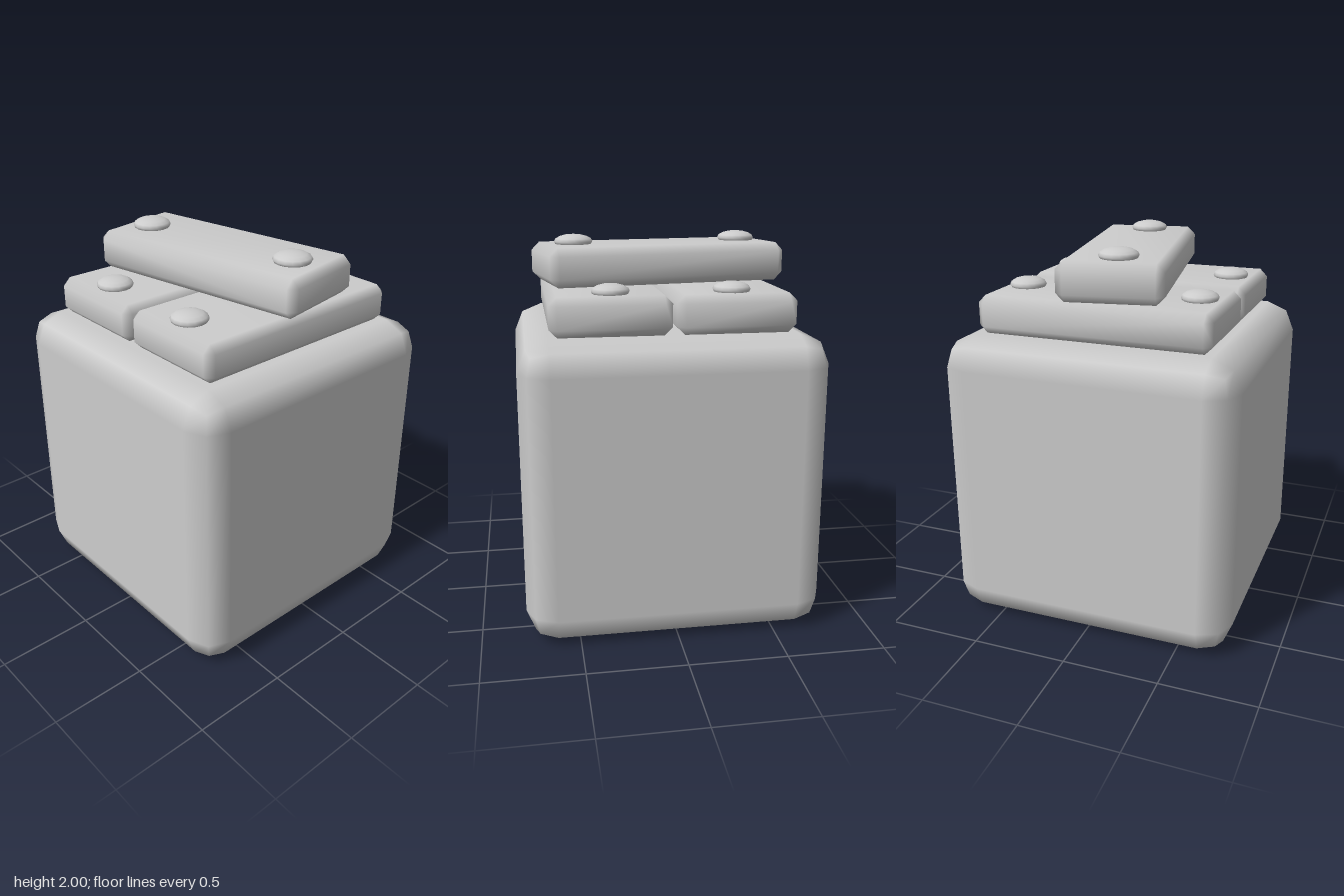
import * as THREE from 'three';
import { mergeVertices } from 'three/addons/utils/BufferGeometryUtils.js';
import { ConvexGeometry } from 'three/addons/geometries/ConvexGeometry.js';

const grey = new THREE.MeshStandardMaterial({ color: 0xcccccc });
grey.name = 'grey';

// Box whose edges are rounded in two 45 degree steps
function roundedBox(w, h, d, r) {
  const geo = new THREE.BoxGeometry(2, 2, 2, 3, 3, 3);
  const pos = geo.attributes.position;
  const half = new THREE.Vector3(w / 2 - r, h / 2 - r, d / 2 - r);
  const p = new THREE.Vector3();
  for (let i = 0; i < pos.count; i++) {
    p.fromBufferAttribute(pos, i);
    const n = new THREE.Vector3(Math.trunc(p.x * 1.01), Math.trunc(p.y * 1.01), Math.trunc(p.z * 1.01)).normalize();
    pos.setXYZ(i,
      Math.sign(p.x) * half.x + n.x * r,
      Math.sign(p.y) * half.y + n.y * r,
      Math.sign(p.z) * half.z + n.z * r);
    geo.attributes.normal.setXYZ(i, n.x, n.y, n.z);
  }
  return geo;
}

// Box with a single chamfer on every edge, shaded smooth
function chamferedBox(w, h, d, c) {
  const points = [];
  for (const x of [-w / 2, w / 2]) for (const y of [-h / 2, h / 2]) for (const z of [-d / 2, d / 2]) {
    const cx = x - Math.sign(x) * c, cy = y - Math.sign(y) * c, cz = z - Math.sign(z) * c;
    points.push(new THREE.Vector3(x, cy, cz), new THREE.Vector3(cx, y, cz), new THREE.Vector3(cx, cy, z));
  }
  const raw = new ConvexGeometry(points);
  raw.deleteAttribute('normal');
  const geo = mergeVertices(raw, 1e-4);
  geo.computeVertexNormals();
  return geo;
}

export function createModel() {
  const model = new THREE.Group();
  model.name = 'blockWithPlanks';

  function add(name, geo, x, y, z) {
    const mesh = new THREE.Mesh(geo, grey);
    mesh.name = name;
    mesh.position.set(x, y, z);
    model.add(mesh);
    return mesh;
  }

  function addRivet(x, y, z, r, h) {
    add('rivet', new THREE.SphereGeometry(r, 16, 8).scale(1, h / r, 1), x, y, z);
  }

  // Main block
  add('block', roundedBox(1.54, 1.545, 1.54, 0.155), 0, 0.7725, 0);

  // Two lower planks, each with a rivet near either end
  const plank = chamferedBox(1.22, 0.195, 0.6, 0.04);
  for (const side of [-1, 1]) {
    add(side > 0 ? 'frontPlank' : 'backPlank', plank, 0, 1.6425, side * 0.31);
    for (const end of [-1, 1]) addRivet(end * 0.465, 1.752, side * 0.302, 0.095, 0.038);
  }

  // Upper plank, laid askew across the lower ones
  const topPlank = add('topPlank', chamferedBox(0.53, 0.198, 1.27, 0.042), 0, 1.85, 0);
  topPlank.rotation.y = THREE.MathUtils.degToRad(10);
  addRivet(-0.1, 1.962, -0.455, 0.1, 0.038);
  addRivet(0.06, 1.962, 0.45, 0.1, 0.038);

  return model;
}
